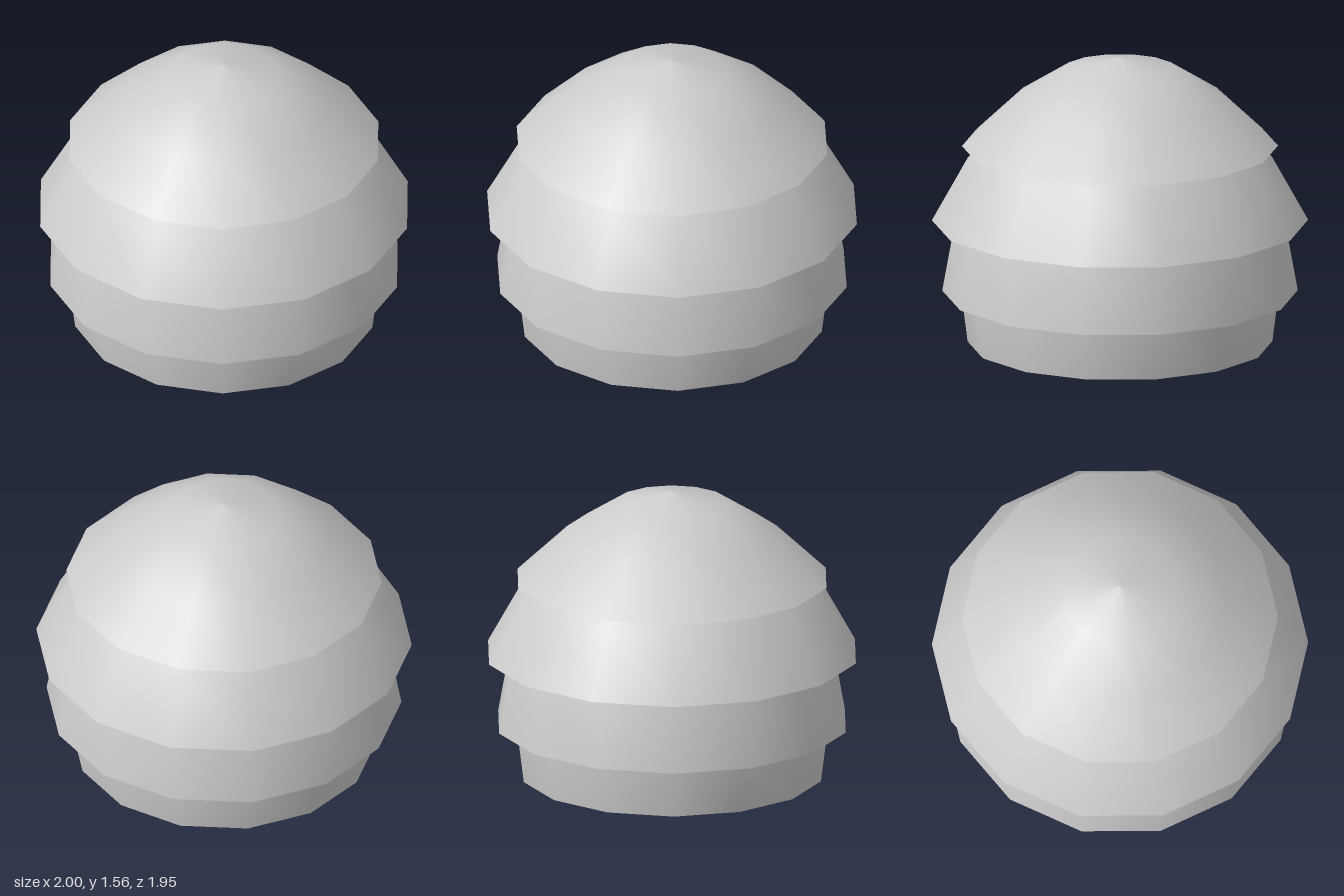
import * as THREE from 'three';

const SIDES = 14;

// Each tier is an open, overlapping shell: [radius, height] from hem to top.
const TIERS = {
  baseWall: [[0.81, 0], [0.845, 0.28], [0.83, 0.69]],
  lowerSkirt: [[0.945, 0.28], [0.883, 0.625], [0.72, 1.08]],
  middleSkirt: [[1, 0.667], [0.81, 1.01], [0.55, 1.27]],
  domeCap: [[0.84, 1.075], [0.57, 1.33], [0.3, 1.5], [0, 1.56]],
};

export function createModel() {
  const model = new THREE.Group();
  model.name = 'tieredDome';
  const material = new THREE.MeshStandardMaterial({ color: 0xcccccc, side: THREE.DoubleSide });

  for (const [name, profile] of Object.entries(TIERS)) {
    const points = profile.map(([r, y]) => new THREE.Vector2(r, y));
    // Starting at a quarter turn puts a corner on each end of the x axis.
    const geometry = new THREE.LatheGeometry(points, SIDES, Math.PI / 2);
    const shell = new THREE.Mesh(geometry, material);
    shell.name = name;
    model.add(shell);
  }
  return model;
}
